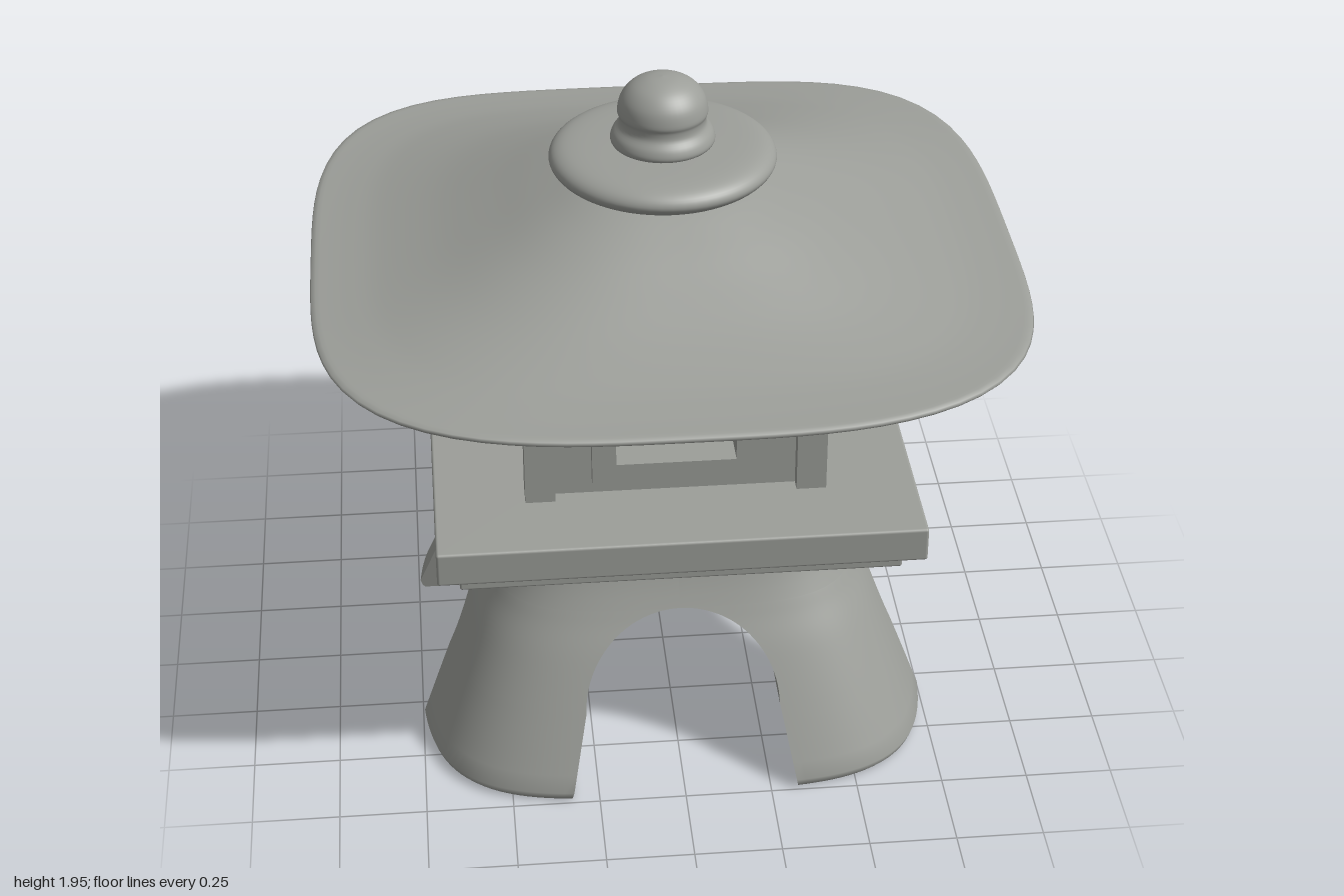
import * as THREE from 'three';
import { RoundedBoxGeometry } from 'three/addons/geometries/RoundedBoxGeometry.js';

const stone = new THREE.MeshStandardMaterial({ color: 0x9c9e99 });

function part(parent, name, geometry, x = 0, y = 0, z = 0) {
  const mesh = new THREE.Mesh(geometry, stone);
  mesh.name = name;
  mesh.position.set(x, y, z);
  parent.add(mesh);
}

// Smooth skin over rows of points; rows may close on themselves
function skin(rows, closed = false) {
  const n = rows[0].length, index = [];
  for (let i = 0; i < rows.length - 1; i++) {
    for (let j = 0; j < (closed ? n : n - 1); j++) {
      const k = (j + 1) % n;
      const a = i * n + j, b = i * n + k, c = a + n, d = b + n;
      index.push(a, c, b, b, c, d);
    }
  }
  const g = new THREE.BufferGeometry().setFromPoints(rows.flat());
  g.setIndex(index);
  g.computeVertexNormals();
  return g;
}

// Point on a rounded square of half-size h at angle t
function squircle(h, p, t, y) {
  const c = Math.cos(t), s = Math.sin(t);
  const r = h / Math.pow(Math.abs(c) ** p + Math.abs(s) ** p, 1 / p);
  return new THREE.Vector3(r * c, y, r * s);
}

const smoothProfile = (pts, n) =>
  new THREE.SplineCurve(pts.map(([x, y]) => new THREE.Vector2(x, y))).getPoints(n);

// Rectangular panel with a window opening, extruded towards +z
function windowPanel(x, y0, y1, depth) {
  const rect = (path, w, a, b) =>
    path.moveTo(-w, a).lineTo(w, a).lineTo(w, b).lineTo(-w, b).closePath();
  const shape = new THREE.Shape();
  rect(shape, x, y0, y1);
  const hole = new THREE.Path();
  rect(hole, 0.17, 0.955, 1.295);
  shape.holes.push(hole);
  return new THREE.ExtrudeGeometry(shape, { depth, bevelEnabled: false });
}

// Four splayed legs joined above crossing arches
function buildBase() {
  const base = new THREE.Group();
  base.name = 'archedBase';
  const P = 4, CROWN = 0.527;
  const outline = smoothProfile(
    [[0.752, 0.03], [0.685, 0.2], [0.607, 0.39], [0.556, 0.5], [0.515, 0.6], [0.493, 0.68]], 60);
  const half = (y) => {
    if (y < 0.03) return 0.739 + 0.013 * Math.sqrt(y / 0.03);
    const i = Math.max(1, outline.findIndex((q) => q.y >= y - 1e-6));
    const a = outline[i - 1], b = outline[i];
    return THREE.MathUtils.mapLinear(y, a.y, b.y, a.x, b.x);
  };
  // Levels: [height, half-width of the arch opening]
  const levels = [0, 0.01, 0.03, 0.08, 0.14, 0.2, 0.25].map((y) => [y, 0.33 - 0.2 * y]);
  for (let i = 1; i <= 24; i++) {
    const a = (i / 24) * Math.PI / 2;
    levels.push([0.25 + (CROWN - 0.25) * Math.sin(a), i === 24 ? 0 : 0.28 * Math.cos(a)]);
  }
  const arches = levels.slice();
  for (const y of [0.56, 0.6, 0.64, 0.68]) levels.push([y, 0]);

  const reach = (y, w) => Math.pow(half(y) ** P - w ** P, 1 / P);
  const arc = ([y, w]) => {
    const t0 = Math.atan2(w, reach(y, w));
    return Array.from({ length: 25 }, (_, j) =>
      squircle(half(y), P, t0 + (j / 24) * (Math.PI / 2 - 2 * t0), y));
  };
  const outer = skin(levels.map(arc));
  const sideA = skin(arches.map(([y, w]) =>
    [new THREE.Vector3(w, y, w), new THREE.Vector3(reach(y, w), y, w)]));
  const sideB = skin(arches.map(([y, w]) =>
    [new THREE.Vector3(w, y, reach(y, w)), new THREE.Vector3(w, y, w)]));
  const rim = arc(levels[0]);
  const sole = skin([rim.map(() => new THREE.Vector3(0.33, 0, 0.33)), rim]);

  for (let q = 0; q < 4; q++) {
    const leg = new THREE.Group();
    leg.name = 'leg' + (q + 1);
    leg.rotation.y = q * Math.PI / 2;
    part(leg, 'legOuter', outer);
    part(leg, 'archSideA', sideA);
    part(leg, 'archSideB', sideB);
    part(leg, 'legSole', sole);
    base.add(leg);
  }
  return base;
}

// Light chamber with corner posts and a framed front window
function buildChamber() {
  const chamber = new THREE.Group();
  chamber.name = 'lightChamber';
  part(chamber, 'chamberCore', new THREE.BoxGeometry(0.78, 0.53, 0.69), 0, 1.1, -0.045);
  part(chamber, 'frontWall', windowPanel(0.39, 0.835, 1.365, 0.09), 0, 0, 0.3);
  part(chamber, 'windowFrame', windowPanel(0.238, 0.89, 1.356, 0.04), 0, 0, 0.39);
  const post = new THREE.BoxGeometry(0.085, 0.53, 0.085);
  for (const x of [-1, 1]) {
    for (const z of [-1, 1]) {
      part(chamber, (z > 0 ? 'front' : 'back') + (x > 0 ? 'Left' : 'Right') + 'Post',
        post, x * 0.386, 1.1, z * 0.386);
    }
  }
  return chamber;
}

// Sweeping roof with slightly lifted corners
function buildRoof() {
  const under = smoothProfile([[0, 1.355], [0.45, 1.357], [0.8, 1.375], [0.985, 1.397]], 20);
  const edge = [[0.995, 1.401], [1, 1.408], [0.997, 1.415]].map(([x, y]) => new THREE.Vector2(x, y));
  const top = smoothProfile(
    [[0.985, 1.419], [0.9, 1.428], [0.8, 1.446], [0.65, 1.491], [0.5, 1.55],
      [0.35, 1.615], [0.22, 1.664], [0.1, 1.685], [0, 1.69]], 40);
  const rows = [...under, ...edge, ...top].map(({ x, y }) => {
    const h = Math.max(x, 0.0005);
    const p = 2.4 + 1.1 * Math.min(1, h * 1.3);
    return Array.from({ length: 96 }, (_, j) => {
      const t = (j / 96) * Math.PI * 2;
      return squircle(h, p, t, y + 0.013 * Math.sin(2 * t) ** 4 * h ** 4);
    });
  });
  return skin(rows, true);
}

export function createModel() {
  const model = new THREE.Group();
  model.name = 'stoneLantern';
  model.add(buildBase());

  // Stepped platform
  part(model, 'lowerSlab', new RoundedBoxGeometry(1.25, 0.06, 1.22, 3, 0.007), 0, 0.71, 0);
  part(model, 'upperSlab', new RoundedBoxGeometry(1.375, 0.105, 1.32, 3, 0.008), 0, 0.7875, 0);

  model.add(buildChamber());
  part(model, 'roof', buildRoof());

  // Round collar and finial
  const collar = smoothProfile(
    [[0.1, 1.66], [0.24, 1.664], [0.295, 1.676], [0.32, 1.705], [0.3, 1.735], [0.24, 1.75], [0.1, 1.756]], 32);
  part(model, 'collar', new THREE.LatheGeometry(collar, 64));
  const finial = smoothProfile(
    [[0.135, 1.745], [0.147, 1.762], [0.141, 1.785], [0.124, 1.808], [0.122, 1.83], [0.127, 1.85],
      [0.117, 1.89], [0.088, 1.924], [0.045, 1.944], [0, 1.95]], 40);
  part(model, 'finial', new THREE.LatheGeometry(finial, 48));
  return model;
}
